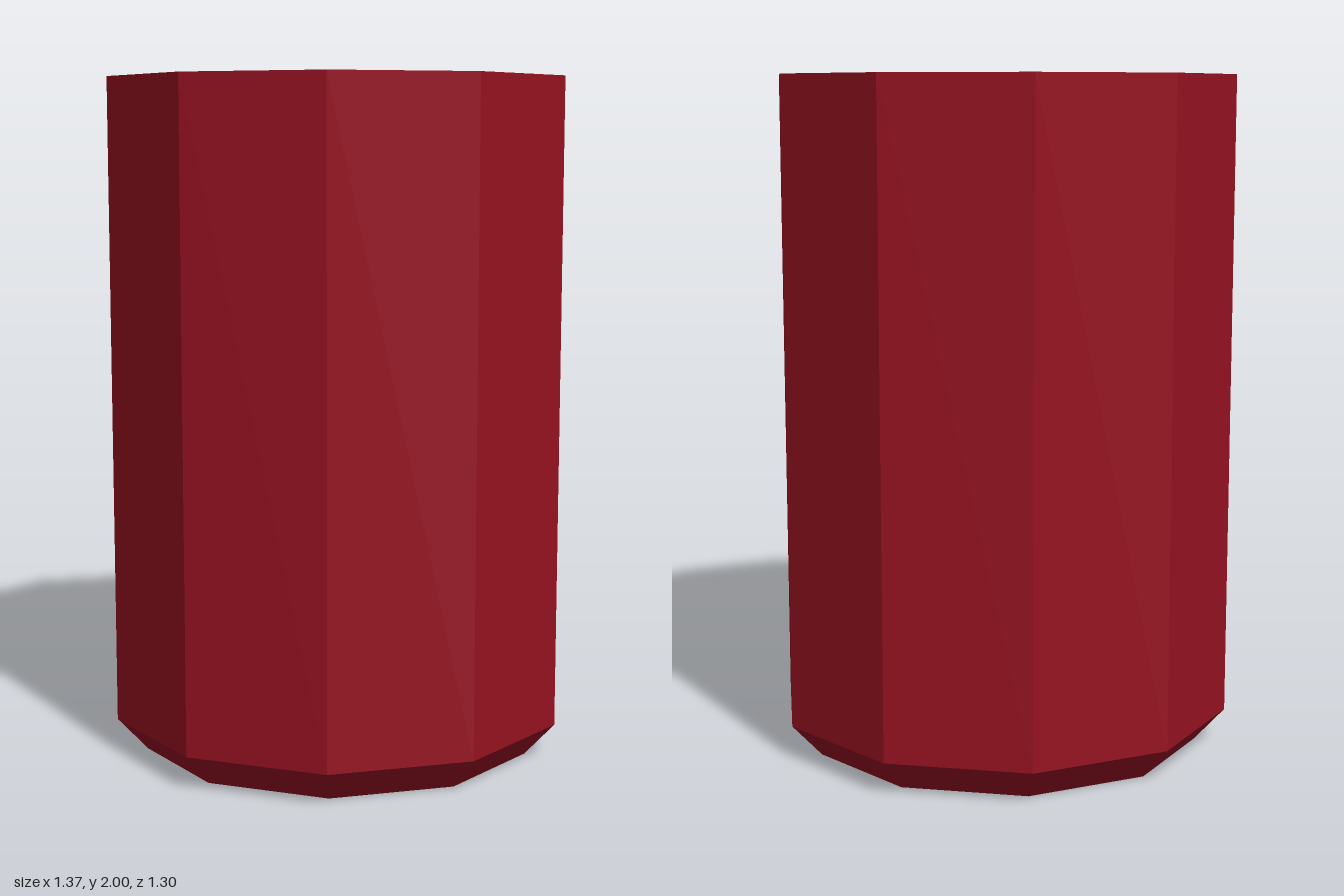
import * as THREE from 'three';

const SIDES = 10;
const RADIUS = 0.686;
const INNER = 0.623;
const HEIGHT = 2;
const LID_Y = 1.95;

function makePart(name, geometry, color) {
  const material = new THREE.MeshStandardMaterial({ color, flatShading: true });
  const mesh = new THREE.Mesh(geometry, material);
  mesh.name = name;
  return mesh;
}

export function createModel() {
  const group = new THREE.Group();
  group.name = 'drinkCan';

  // Ten-sided shell: base, chamfer, wall, rim and recess wall
  const profile = [
    [0, 0], [0.595, 0], [RADIUS, 0.1], [RADIUS, HEIGHT], [INNER, HEIGHT], [INNER, LID_Y],
  ].map(([r, y]) => new THREE.Vector2(r, y));
  group.add(makePart('canBody', new THREE.LatheGeometry(profile, SIDES, Math.PI / 2), 0x961221));

  // Sunken lid
  const lid = makePart('lid', new THREE.CircleGeometry(INNER, SIDES).rotateX(-Math.PI / 2), 0xcccccc);
  lid.position.y = LID_Y;
  group.add(lid);

  // Pull tab: thin plate with its far end rounded, lying toward the back
  const half = [[0.147, 0.035], [0.147, 0.43], [0.125, 0.487], [0.075, 0.508]];
  const mirrored = half.map(([x, y]) => [-x, y]).reverse();
  const outline = new THREE.Shape([...half, ...mirrored].map(([x, y]) => new THREE.Vector2(x, y)));
  const tabGeometry = new THREE.ExtrudeGeometry(outline, { depth: 0.02, bevelEnabled: false });
  const tab = makePart('pullTab', tabGeometry.rotateX(-Math.PI / 2), 0xa2a2a2);
  tab.position.y = LID_Y;
  group.add(tab);

  return group;
}
